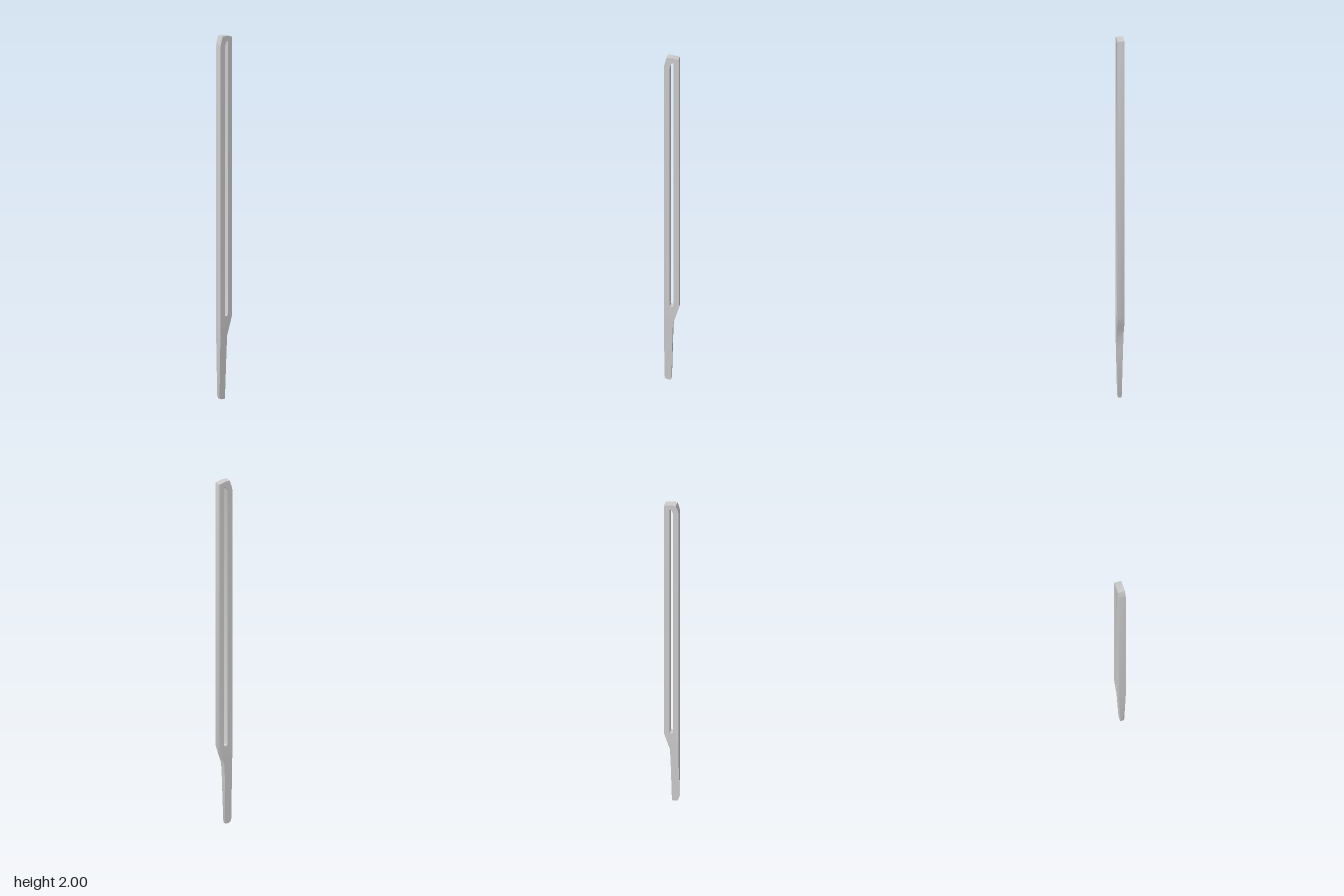
import * as THREE from 'three';
import { toCreasedNormals } from 'three/addons/utils/BufferGeometryUtils.js';

const HALF = 0.019;      // half thickness of the blade
const TIP_HALF = 0.0095; // half thickness at the foot
const SPLIT = 0.4;       // height where the taper begins

// Side profile given as (z, y) points, extruded across x and centred
function extrudeProfile(shape) {
  const g = new THREE.ExtrudeGeometry(shape, { depth: HALF * 2, bevelEnabled: false, curveSegments: 8 });
  g.translate(0, 0, -HALF);
  g.rotateY(-Math.PI / 2);
  return g;
}

const outline = pts => new THREE.Shape(pts.map(([z, y]) => new THREE.Vector2(z, y)));

export function createModel() {
  const group = new THREE.Group();
  group.name = 'slottedBlade';
  const material = new THREE.MeshStandardMaterial({ color: 0xcccccc });
  const add = (name, geometry) => {
    const mesh = new THREE.Mesh(toCreasedNormals(geometry, 0.6), material);
    mesh.name = name;
    group.add(mesh);
  };

  // Upper bar with chamfered front top corner
  const bar = outline([
    [0.041, SPLIT], [0.041, 1.945], [0.037, 1.965], [0.026, 2.0],
    [0, 2.0], [-0.038, 1.992], [-0.04, 1.985], [-0.04, 0.455], [-0.023, SPLIT],
  ]);

  // Long slot: round at the foot, sloped at the head
  const slot = new THREE.Path();
  slot.moveTo(-0.01, 0.467);
  slot.lineTo(-0.01, 1.97);
  slot.lineTo(-0.004, 1.97);
  slot.quadraticCurveTo(0.006, 1.965, 0.01, 1.94);
  slot.lineTo(0.01, 0.467);
  slot.quadraticCurveTo(0.01, 0.457, 0, 0.457);
  slot.quadraticCurveTo(-0.01, 0.457, -0.01, 0.467);
  bar.holes.push(slot);
  add('slottedBar', extrudeProfile(bar));

  // Narrow foot, thinning towards the bottom
  const foot = extrudeProfile(outline([
    [0.041, SPLIT], [-0.023, SPLIT], [-0.007, 0.35], [-0.004, 0.27],
    [0.002, 0.006], [0.004, 0], [0.025, 0], [0.035, 0.006], [0.04, 0.022],
  ]));
  const p = foot.attributes.position;
  for (let i = 0; i < p.count; i++) {
    const half = THREE.MathUtils.lerp(TIP_HALF, HALF, p.getY(i) / SPLIT);
    p.setX(i, Math.sign(p.getX(i)) * half);
  }
  add('taperedFoot', foot);

  return group;
}
